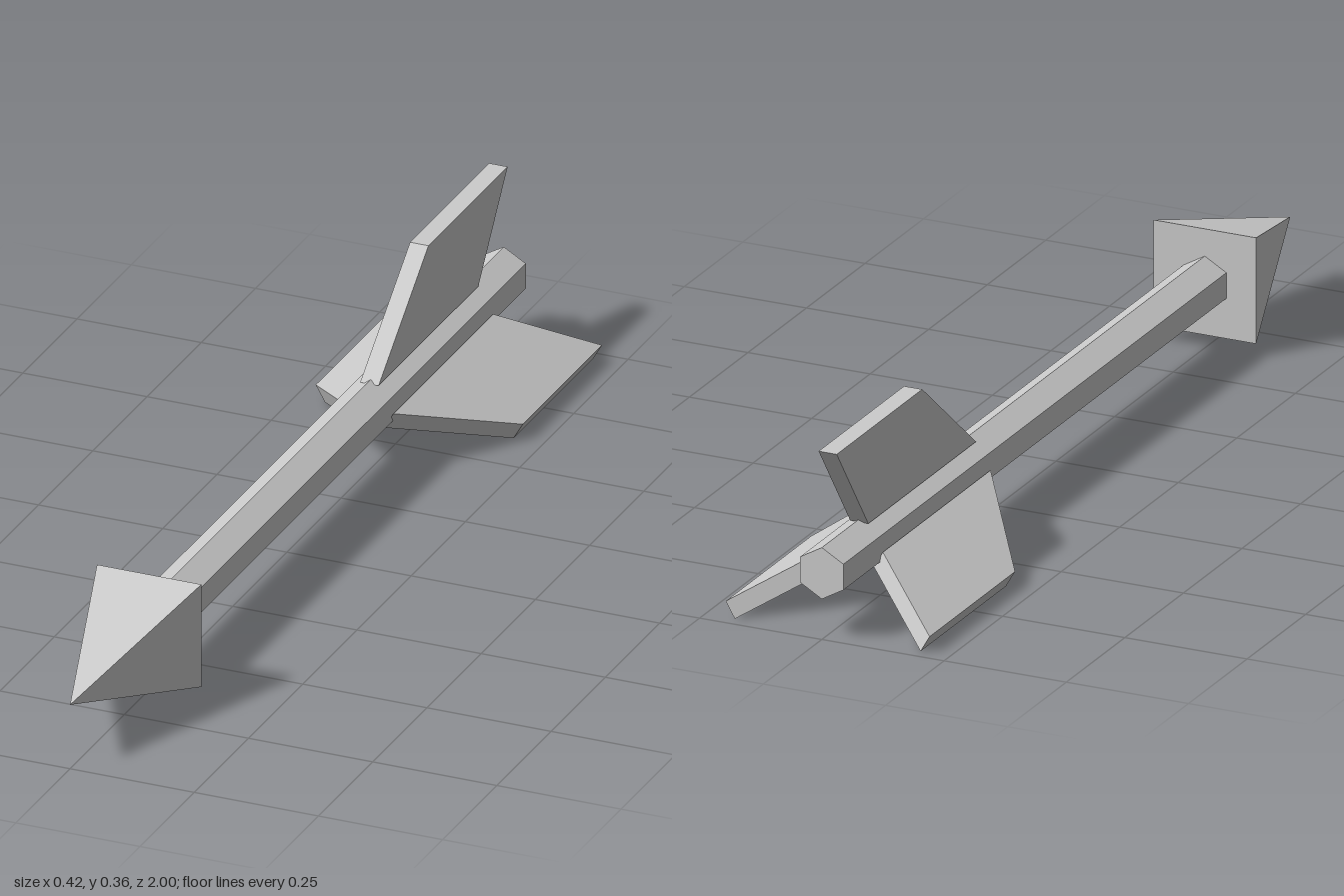
import * as THREE from 'three';

export function createModel() {
  const model = new THREE.Group();
  model.name = 'arrow';
  const grey = new THREE.MeshStandardMaterial({ color: 0xcccccc });
  grey.name = 'grey';
  grey.flatShading = true;
  const axisY = 0.132;

  const add = (geometry, name) => {
    const mesh = new THREE.Mesh(geometry, grey);
    mesh.name = name;
    mesh.position.y = axisY;
    model.add(mesh);
    return mesh;
  };

  // Six-sided shaft with a ridge on top
  const back = -1, headBase = 0.635, tip = 1;
  const shaft = new THREE.CylinderGeometry(0.051, 0.051, headBase - back, 6);
  shaft.rotateX(Math.PI / 2).translate(0, 0, (back + headBase) / 2);
  add(shaft, 'shaft');

  // Square pyramid head
  const head = new THREE.ConeGeometry(0.105 * Math.SQRT2, tip - headBase, 4);
  head.rotateY(Math.PI / 4).rotateX(Math.PI / 2).translate(0, 0, (headBase + tip) / 2);
  add(head, 'arrowhead');

  // Three swept fins: distance back along the shaft, distance from its axis
  const outline = new THREE.Shape([
    [0.38, 0.045], [0.84, 0.045], [0.975, 0.23], [0.61, 0.23],
  ].map(([u, v]) => new THREE.Vector2(u, v)));
  const thickness = 0.037;
  const fin = new THREE.ExtrudeGeometry(outline, { depth: thickness, bevelEnabled: false });
  fin.translate(0, 0, -thickness / 2).rotateY(Math.PI / 2);
  ['topFin', 'rightFin', 'leftFin'].forEach((name, i) => {
    add(fin, name).rotation.z = (i * Math.PI * 2) / 3;
  });

  return model;
}
